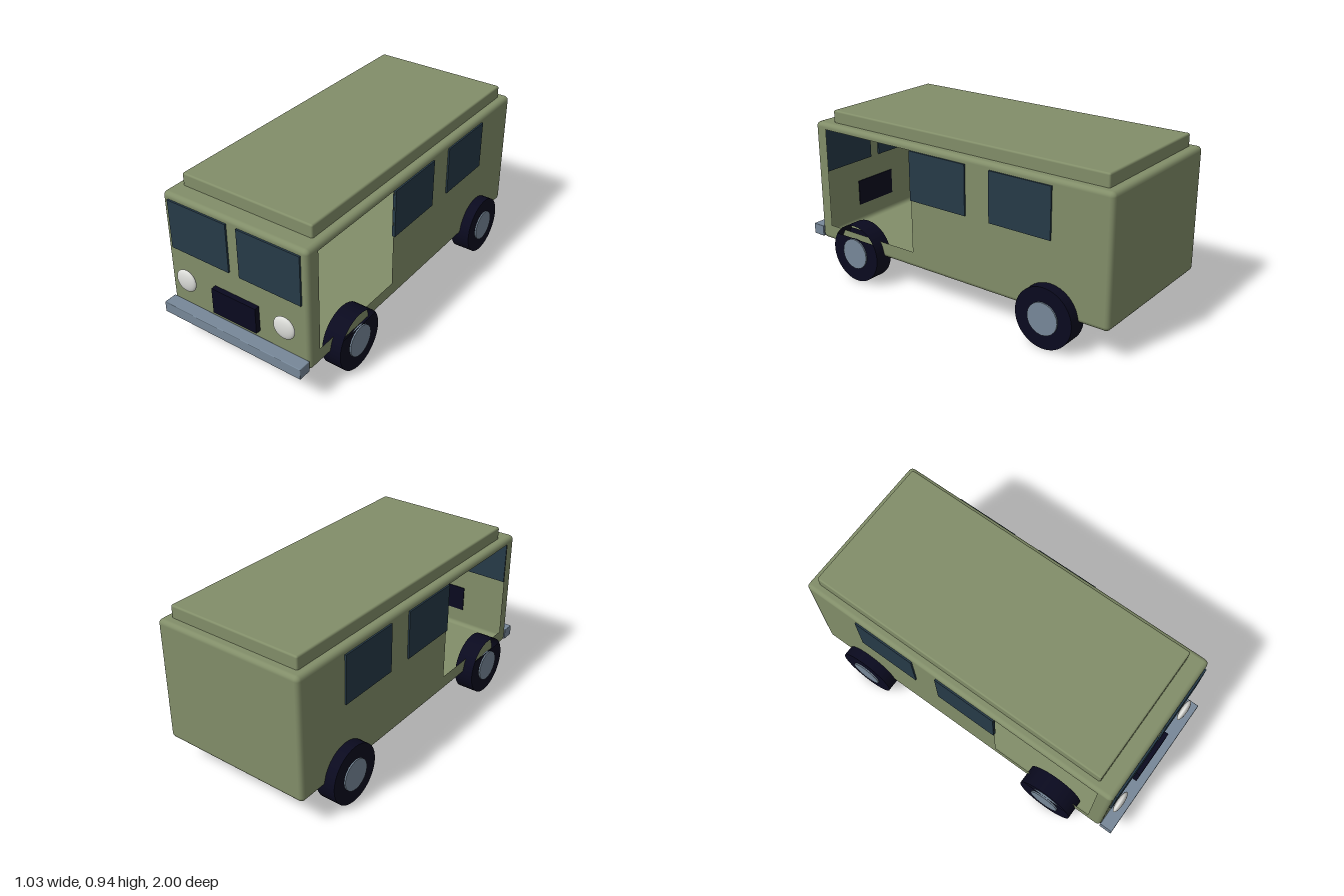
import * as THREE from 'three';
import { RoundedBoxGeometry } from 'three/addons/geometries/RoundedBoxGeometry.js';

const material = (name, color, side = THREE.FrontSide) => {
  const m = new THREE.MeshStandardMaterial({ color, side });
  m.name = name;
  return m;
};

export function createModel() {
  const van = new THREE.Group();
  van.name = 'van';
  const paint = material('olive paint', 0x828e69, THREE.DoubleSide);
  const glass = material('dark glass', 0x263a48, THREE.DoubleSide);
  const rubber = material('black rubber', 0x0a0a1f, THREE.DoubleSide);
  const steel = material('grey steel', 0x778899);
  const lamp = material('lamp white', 0xdddeda);

  const add = (name, geometry, mat, x = 0, y = 0, z = 0, parent = van) => {
    const mesh = new THREE.Mesh(geometry, mat);
    mesh.name = name;
    mesh.position.set(x, y, z);
    parent.add(mesh);
    return mesh;
  };
  // box given by its limits
  const box = (name, mat, x0, x1, y0, y1, z0, z1, round = 0) => {
    const size = [x1 - x0, y1 - y0, z1 - z0];
    const geometry = round ? new RoundedBoxGeometry(...size, 2, round) : new THREE.BoxGeometry(...size);
    return add(name, geometry, mat, (x0 + x1) / 2, (y0 + y1) / 2, (z0 + z1) / 2);
  };
  // removes the flat faces on the +x and -x ends of a geometry
  const openSides = (source, halfWidth) => {
    const g = source.index ? source.toNonIndexed() : source;
    const p = g.attributes.position, n = g.attributes.normal;
    const pos = [], nor = [];
    for (let i = 0; i < p.count; i += 3) {
      if ([0, 1, 2].every(k => Math.abs(Math.abs(p.getX(i + k)) - halfWidth) < 1e-4)) continue;
      for (let k = i; k < i + 3; k++) {
        pos.push(p.getX(k), p.getY(k), p.getZ(k));
        nor.push(n.getX(k), n.getY(k), n.getZ(k));
      }
    }
    const out = new THREE.BufferGeometry();
    out.setAttribute('position', new THREE.Float32BufferAttribute(pos, 3));
    out.setAttribute('normal', new THREE.Float32BufferAttribute(nor, 3));
    return out;
  };
  // rectangle in the z-y plane, drawn for a panel facing side s
  const rectangle = (Kind, s, z0, z1, y0, y1) => new Kind([[z0, y0], [z1, y0], [z1, y1], [z0, y1]]
    .map(([z, y]) => new THREE.Vector2(-s * z, y)));

  // hollow body shell; its sides are separate panels with door openings
  const W = 0.445, Y0 = 0.165, Y1 = 0.865, Z0 = -1, Z1 = 0.925, R = 0.025;
  const shell = openSides(new RoundedBoxGeometry(2 * W, Y1 - Y0, Z1 - Z0, 2, R), W);
  add('bodyShell', shell, paint, 0, (Y0 + Y1) / 2, (Z0 + Z1) / 2);
  box('raisedRoof', paint, -0.398, 0.398, 0.855, 0.935, -0.947, 0.825, 0.01);

  for (const s of [1, -1]) {
    const side = s > 0 ? 'left' : 'right';
    const panel = rectangle(THREE.Shape, s, Z0 + R, Z1 - R, Y0 + R, Y1 - R);
    panel.holes.push(rectangle(THREE.Path, s, 0.22, 0.845, 0.255, 0.83));
    add(side + 'SidePanel', new THREE.ShapeGeometry(panel).rotateY(s * Math.PI / 2), paint, s * W);

    // side windows, and the empty window frame in the door opening
    for (const z of [-0.485, 0.035]) {
      add(side + 'SideWindow', new THREE.BoxGeometry(0.018, 0.275, 0.368), glass, s * W, 0.6925, z);
    }
    const frame = openSides(new THREE.BoxGeometry(0.018, 0.275, 0.368), 0.009);
    add(side + 'DoorWindowFrame', frame, glass, s * W, 0.6925, 0.55);

    // front face
    add(side + 'Windshield', new THREE.BoxGeometry(0.374, 0.28, 0.02), glass, s * 0.22, 0.692, Z1);
    add(side + 'Headlight', new THREE.SphereGeometry(0.064, 32, 16).scale(1, 1, 0.31), lamp, s * 0.314, 0.392, 0.95);

    // wheels; the front ones have their end faces cut off level with the door sill
    for (const [end, z, cut] of [['Front', 0.6, true], ['Rear', -0.67, false]]) {
      const wheel = new THREE.Group();
      wheel.name = side + end + 'Wheel';
      wheel.position.set(s * 0.45, 0.165, z);
      van.add(wheel);
      const r = 0.165;
      add('tread', new THREE.CylinderGeometry(r, r, 0.11, 32, 1, true).rotateZ(Math.PI / 2), rubber, 0, 0, 0, wheel);
      const a = cut ? Math.asin(0.09 / r) : Math.PI / 2;
      const face = new THREE.Shape();
      face.absarc(0, 0, r, Math.PI - a, 2 * Math.PI + a, false);
      for (const d of [1, -1]) {
        add('sidewall', new THREE.ShapeGeometry(face, 32).rotateY(d * Math.PI / 2), rubber, d * 0.055, 0, 0, wheel);
      }
      add('hubcap', new THREE.CylinderGeometry(0.088, 0.088, 0.02, 20).rotateZ(Math.PI / 2), steel, s * 0.053, 0, 0, wheel);
    }
  }

  box('grille', rubber, -0.14, 0.14, 0.272, 0.423, 0.92, 0.955);
  box('frontBumper', steel, -0.442, 0.442, 0.168, 0.231, 0.925, 1, 0.004);
  return van;
}
